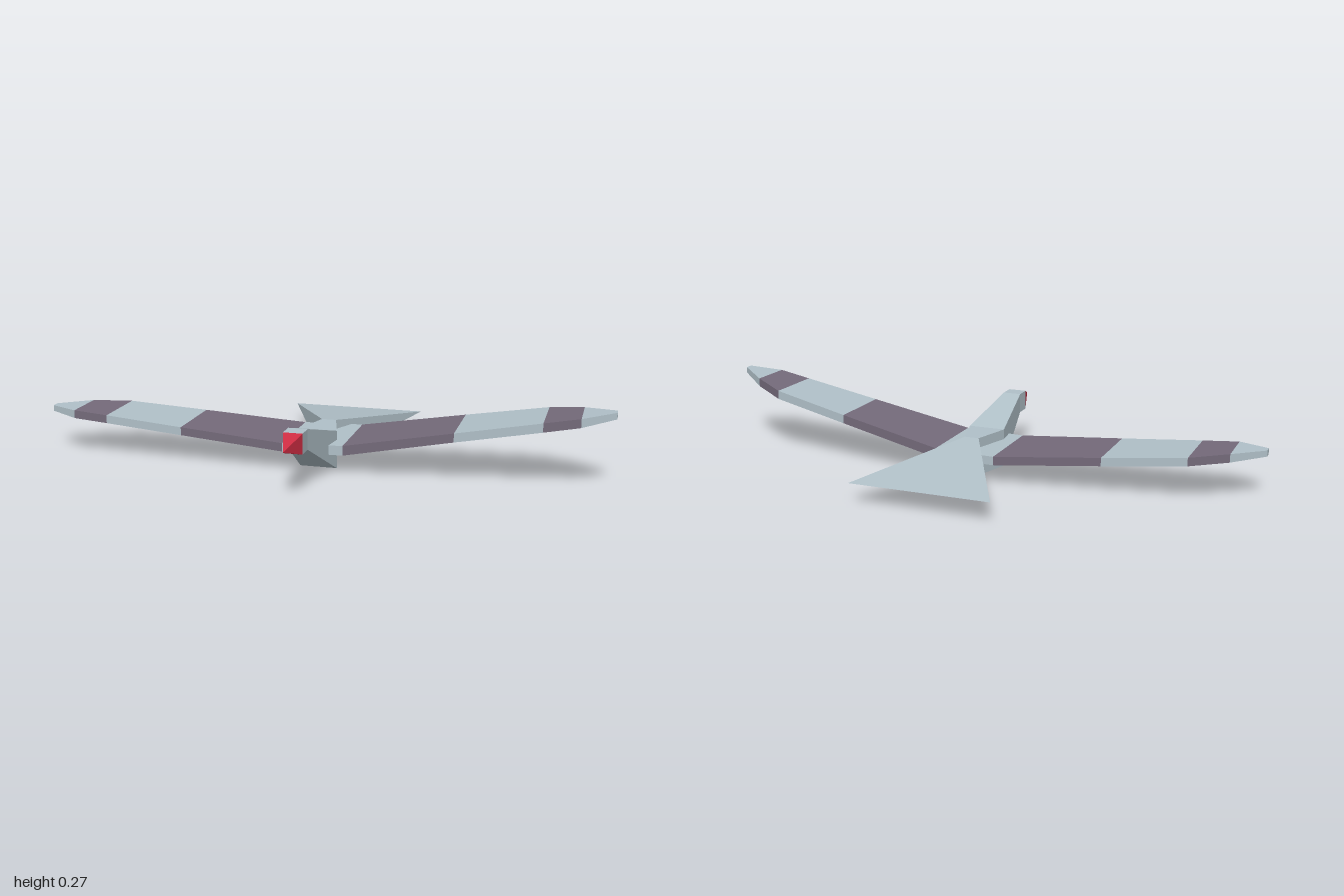
import * as THREE from 'three';

const material = (color) => new THREE.MeshStandardMaterial({ color, flatShading: true });

// Joins four-cornered rings (counter-clockwise seen from the end) into a faceted skin.
function loft(rings, capStart, capEnd) {
  const positions = [];
  const tri = (a, b, c) => {
    const [p, q, r] = [a, b, c].map((v) => new THREE.Vector3(...v));
    if (new THREE.Triangle(p, q, r).getArea() > 1e-7) positions.push(...a, ...b, ...c);
  };
  const quad = (a, b, c, d) => { tri(a, b, c); tri(a, c, d); };
  for (let i = 0; i < rings.length - 1; i++) {
    const a = rings[i], b = rings[i + 1];
    for (let k = 0; k < 4; k++) {
      const n = (k + 1) % 4;
      quad(a[k], a[n], b[n], b[k]);
    }
  }
  if (capStart) quad(...[...rings[0]].reverse());
  if (capEnd) quad(...rings[rings.length - 1]);
  const geometry = new THREE.BufferGeometry();
  geometry.setAttribute('position', new THREE.Float32BufferAttribute(positions, 3));
  geometry.computeVertexNormals();
  return geometry;
}

// Rectangle across the body at depth z
const CX = -0.005;
const bodyRing = (z, halfWidth, y0, y1) => [
  [CX - halfWidth, y0, z], [CX + halfWidth, y0, z],
  [CX + halfWidth, y1, z], [CX - halfWidth, y1, z],
];

// Rectangle across the wing at span x
const wingRing = ([x, zBack, zFront, y0, y1]) => [
  [x, y0, zBack], [x, y1, zBack], [x, y1, zFront], [x, y0, zFront],
];

export function createModel() {
  const bird = new THREE.Group();
  bird.name = 'bird';
  const pale = material(0xb0c0c8);
  const dark = material(0x746a7a);
  const red = material(0xcc2c42);

  const add = (parent, name, geometry, mat) => {
    const mesh = new THREE.Mesh(geometry, mat);
    mesh.name = name;
    parent.add(mesh);
  };

  // Fanned tail, narrow waist, chest, neck and head
  const tail = bodyRing(-0.5, 0.25, 0.07, 0.07);
  const waist = bodyRing(-0.055, 0.026, 0, 0.135);
  const chest = bodyRing(0.085, 0.066, 0, 0.135);
  const headBack = bodyRing(0.335, 0.033, 0.135, 0.205);
  const headFront = bodyRing(0.393, 0.033, 0.135, 0.205);
  add(bird, 'tail', loft([tail, waist]), pale);
  add(bird, 'body', loft([waist, chest]), pale);
  add(bird, 'neckAndHead', loft([chest, headBack, headFront]), pale);
  add(bird, 'beak', loft([headFront, bodyRing(0.5, 0, 0.17, 0.17)]), red);

  // Wing stations from right tip to left tip: x, back z, front z, bottom y, top y
  const stations = [
    [-1, 0.085, 0.115, 0.142, 0.163],
    [-0.895, 0, 0.16, 0.133, 0.162],
    [-0.77, -0.062, 0.16, 0.123, 0.152],
    [-0.487, -0.095, 0.16, 0.099, 0.128],
    [-0.115, -0.13, 0.16, 0.068, 0.098],
    [0.1, -0.13, 0.16, 0.07, 0.104],
    [0.48, -0.095, 0.16, 0.145, 0.176],
    [0.77, -0.062, 0.16, 0.2, 0.231],
    [0.89, 0, 0.16, 0.224, 0.254],
    [1, 0.085, 0.115, 0.249, 0.271],
  ];
  const names = ['Tip', 'OuterBand', 'MiddlePanel', 'InnerBand'];
  const wings = new THREE.Group();
  wings.name = 'wings';
  bird.add(wings);
  const last = stations.length - 2;
  for (let i = 0; i <= last; i++) {
    const name = i === 4 ? 'wingCentre'
      : i < 4 ? 'rightWing' + names[i] : 'leftWing' + names[last - i];
    const rings = [wingRing(stations[i]), wingRing(stations[i + 1])];
    add(wings, name, loft(rings, i === 0, i === last), i % 2 ? dark : pale);
  }
  return bird;
}
